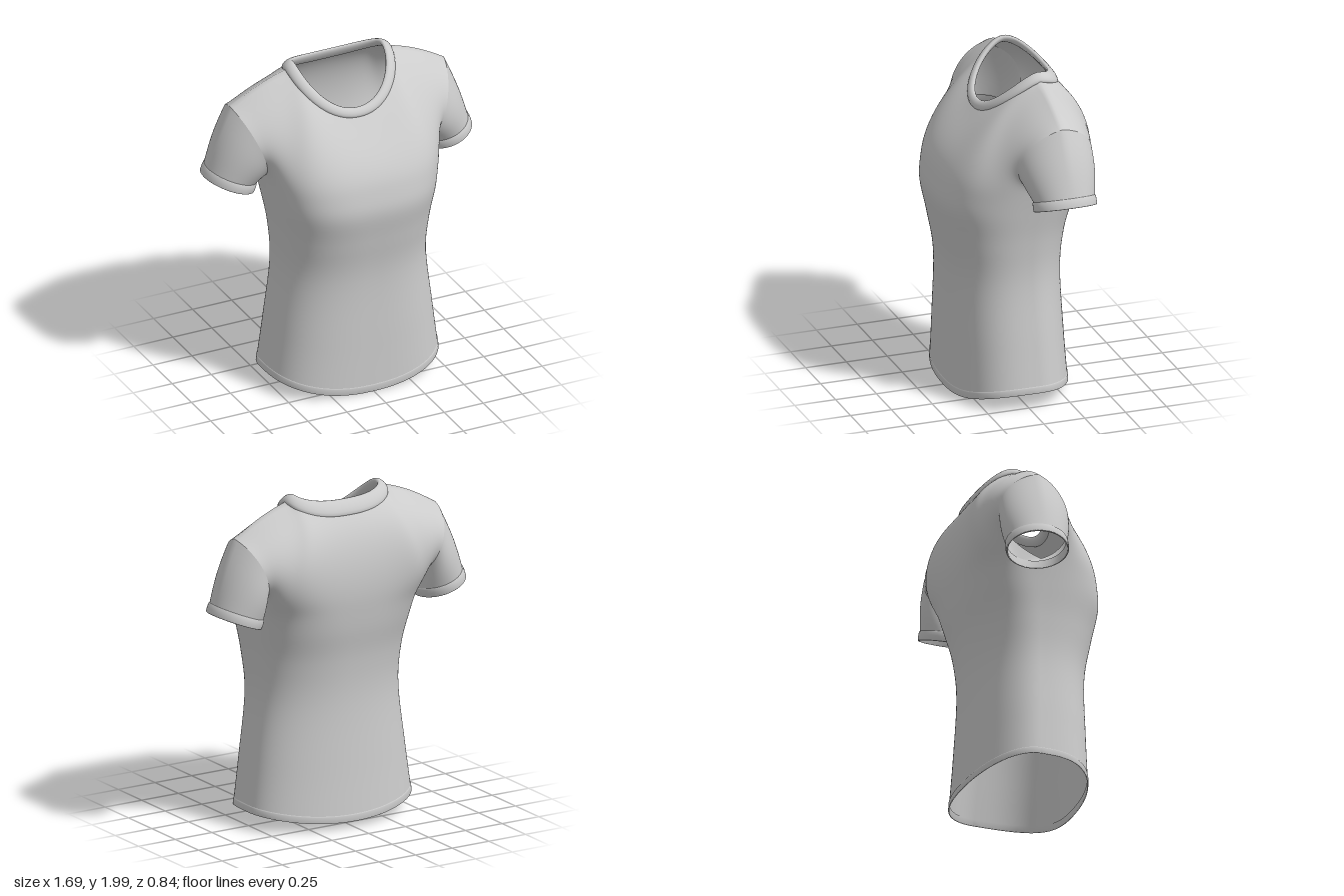
import * as THREE from 'three';
import { mergeVertices } from 'three/addons/utils/BufferGeometryUtils.js';

const V = (x, y, z) => new THREE.Vector3(x, y, z);
const material = new THREE.MeshStandardMaterial({ color: 0xcccccc, side: THREE.DoubleSide });
const pow = (a, e) => Math.pow(Math.max(a, 0), e);
const smooth = THREE.MathUtils.smoothstep;

// Smooth mesh from one or more point grids fn(i, j), welded where they meet.
function gridMesh(name, fns, nu, nv) {
  const pos = [], index = [];
  fns.forEach((fn) => {
    const base = pos.length / 3;
    for (let j = 0; j <= nv; j++)
      for (let i = 0; i <= nu; i++) pos.push(...fn(i, j).toArray());
    for (let j = 0; j < nv; j++)
      for (let i = 0; i < nu; i++) {
        const a = base + j * (nu + 1) + i, d = a + nu + 1;
        index.push(a, a + 1, d, a + 1, d + 1, d);
      }
  });
  let geo = new THREE.BufferGeometry();
  geo.setAttribute('position', new THREE.Float32BufferAttribute(pos, 3));
  geo.setIndex(index);
  geo = mergeVertices(geo, 1e-4);
  geo.computeVertexNormals();
  const mesh = new THREE.Mesh(geo, material);
  mesh.name = name;
  return mesh;
}

function hermite(p0, m0, p1, m1, t) {
  const t2 = t * t, t3 = t2 * t;
  return V(0, 0, 0)
    .addScaledVector(p0, 2 * t3 - 3 * t2 + 1).addScaledVector(m0, t3 - 2 * t2 + t)
    .addScaledVector(p1, 3 * t2 - 2 * t3).addScaledVector(m1, t3 - t2);
}

// Torso rings: height, half width, side seam z, front z, back z, front and back roundness
const RINGS = [
  [0.10, 0.535, -0.06, 0.34, -0.36, 0.68, 0.98],
  [0.40, 0.497, -0.05, 0.34, -0.34, 0.72, 0.98],
  [0.75, 0.457, -0.04, 0.345, -0.325, 0.77, 0.97],
  [1.00, 0.467, -0.04, 0.385, -0.345, 0.74, 0.9],
  [1.20, 0.495, -0.05, 0.42, -0.385, 0.69, 0.78],
  [1.34, 0.52, -0.06, 0.402, -0.408, 0.67, 0.67],
];

function ringPoint(ring, side, s, sign) {
  const [y, w, zs, zf, zb, ef, eb] = ring, t = s * Math.PI / 2;
  const e = side > 0 ? ef : eb, cx = pow(Math.cos(t), e);
  const dip = (side > 0 ? 0.1 : 0.06) * (1 - cx * cx) * (1 - smooth(y, 0.1, 0.9));
  return V(sign * w * cx, y - dip, zs + ((side > 0 ? zf : zb) - zs) * pow(Math.sin(t), e));
}

// Neck loops; angle 0 is the left shoulder, PI/2 the front
const OUTER = { rx: 0.335, y: 1.945, zf: 0.16, zb: -0.305, yf: 1.705, yb: 1.865 };
const INNER = { rx: 0.28, y: 1.99, zf: 0.13, zb: -0.245, yf: 1.757, yb: 1.95 };
function neckPoint(n, a) {
  const c = Math.cos(a), s = Math.sin(a), e = s > 0 ? 0.95 : 0.8;
  const k = Math.abs(s);
  return V(Math.sign(c) * n.rx * pow(Math.abs(c), e),
    n.y + ((s > 0 ? n.yf : n.yb) - n.y) * pow(k, 1.4),
    -0.13 + ((s > 0 ? n.zf : n.zb) + 0.13) * pow(k, e));
}

// Top edge of a panel: shoulder seam, then neckline
const NECK = 0.4;
function topPoint(side, s, sign) {
  const neck = (a) => neckPoint(OUTER, a).lerp(neckPoint(INNER, a), 0.3);
  let p;
  if (s < NECK) {
    const k = s / NECK;
    p = V(0.685, 1.79, -0.14).lerp(neck(0), k);
    p.y += 0.018 * Math.sin(Math.PI * k);
  } else p = neck(side * (s - NECK) / (1 - NECK) * Math.PI / 2);
  p.x *= sign;
  return p;
}

// Front (side 1) or back (side -1) panel; u runs across, v from hem to top
function panel(side, u, v) {
  const s = 1 - Math.abs(u), sign = Math.sign(u * side) || 1;
  const pts = RINGS.map((r) => ringPoint(r, side, s, sign));
  if (v < 0.5) return new THREE.CatmullRomCurve3(pts, false, 'catmullrom', 0.5).getPoint(v * 2);
  // above the armpit: continue the side slope, then roll over the shoulder
  const f = side > 0, mid = smooth(s, NECK * 0.75, 1);
  const edge = Math.pow(1 - s, f ? 5 : 3);
  const m0 = pts[5].clone().sub(pts[4]).setLength(0.62 - 0.2 * mid);
  m0.z -= f ? 0 : 0.28 * (1 - mid);
  m0.lerp(V(0.05 * sign, 0.35, f ? 0.8 : -1.2), edge);
  const m1 = V(0, 0.35, f ? -0.6 : 0.85)
    .lerp(V(0, 0.38, f ? -0.28 : 0.4), mid)
    .lerp(V(0.12 * sign, 0.16, f ? -0.65 : 0.78), edge);
  return hermite(pts[5], m0, topPoint(side, s, sign), m1, v * 2 - 1);
}

// Panel as a grid, relaxed above the chest; its border stays put
const NU = 60, NV = 56;
function panelGrid(side) {
  let g = Array.from({ length: NV + 1 }, (_, j) =>
    Array.from({ length: NU + 1 }, (_, i) => panel(side, i / NU * 2 - 1, j / NV)));
  for (let pass = 0; pass < 24; pass++)
    g = g.map((row, j) => row.map((p, i) => {
      if (i === 0 || i === NU || j < 21 || j === NV) return p;
      const mean = V(0, 0, 0).add(row[i - 1]).add(row[i + 1]).add(g[j - 1][i]).add(g[j + 1][i]);
      return p.clone().lerp(mean.multiplyScalar(0.25), 0.6 * smooth(j, 20, 36));
    }));
  return (i, j) => g[j][i];
}

// Sleeve opening: centre, long radius vector and sleeve direction
const CUFF = V(0.698, 1.305, -0.15), LONG = V(0.143, 0.054, 0), AXIS = V(0.349, -0.937, 0);
function cuffPoint(p, back, grow) {
  const a = p * Math.PI * 2, k = 1 + grow / 0.16;
  const q = CUFF.clone().addScaledVector(LONG, -Math.cos(a) * k).addScaledVector(AXIS, -back);
  q.z -= 0.18 * Math.sin(a) * k;
  return q;
}

// Runs from the armpit up the back of the armhole and down its front
function sleevePoint(p, w) {
  const hole = p < 0.5 ? panel(-1, -1, 0.5 + p) : panel(1, 1, 1.5 - p);
  const a = p * Math.PI * 2;
  const q = hole.lerp(cuffPoint(p, 0.055, 0), w);
  const bulge = 0.01 * Math.sin(Math.PI * w);
  const up = Math.max(0, -Math.cos(a));
  return q.add(V(up * bulge, 0.3 * up * bulge, -Math.sin(a) * bulge));
}

// Collar: an oval section swept between the outer and inner neck loops
function collarPoint(i, j) {
  const a = i * Math.PI * 2, phi = -j * Math.PI * 2;
  const mid = (t) => neckPoint(OUTER, t).add(neckPoint(INNER, t)).multiplyScalar(0.5);
  const half = neckPoint(INNER, a).sub(neckPoint(OUTER, a)).multiplyScalar(0.5);
  const tangent = mid(a + 0.02).sub(mid(a - 0.02));
  const normal = tangent.cross(half).normalize().multiplyScalar(0.018);
  return mid(a).addScaledVector(half, Math.cos(phi)).addScaledVector(normal, Math.sin(phi));
}

export function createModel() {
  const shirt = new THREE.Group();
  shirt.name = 'shirt';

  // Torso
  const sides = [1, -1];
  shirt.add(gridMesh('torso', sides.map(panelGrid), NU, NV));

  // Hem band
  const hem = [[0.0125, -0.005], [0, -0.005], [0, 0.002], [0.0115, 0.004], [0.0135, 0]];
  shirt.add(gridMesh('hem', sides.map((sd) => (i, j) => {
    const p = panel(sd, i / NU * 2 - 1, hem[j][0]);
    return p.add(V(p.x, 0, p.z).setLength(hem[j][1]));
  }), NU, hem.length - 1));

  // Collar
  shirt.add(gridMesh('collar', [(i, j) => collarPoint(i / 80, j / 14)], 80, 14));

  // Sleeves with cuffs
  const cuff = [[0.058, 0], [0.053, 0.005], [0.03, 0.007], [0.003, 0.006], [0, 0.002], [0, -0.004], [0.055, -0.006]];
  for (const [name, sx] of [['left', 1], ['right', -1]]) {
    const arm = new THREE.Group();
    arm.name = name + 'Arm';
    arm.add(gridMesh(name + 'Sleeve', [(i, j) => sleevePoint(i / 56, j / 14)], 56, 14));
    arm.add(gridMesh(name + 'Cuff', [(i, j) => cuffPoint(i / 56, ...cuff[j])], 56, cuff.length - 1));
    arm.scale.x = sx;
    shirt.add(arm);
  }
  return shirt;
}
